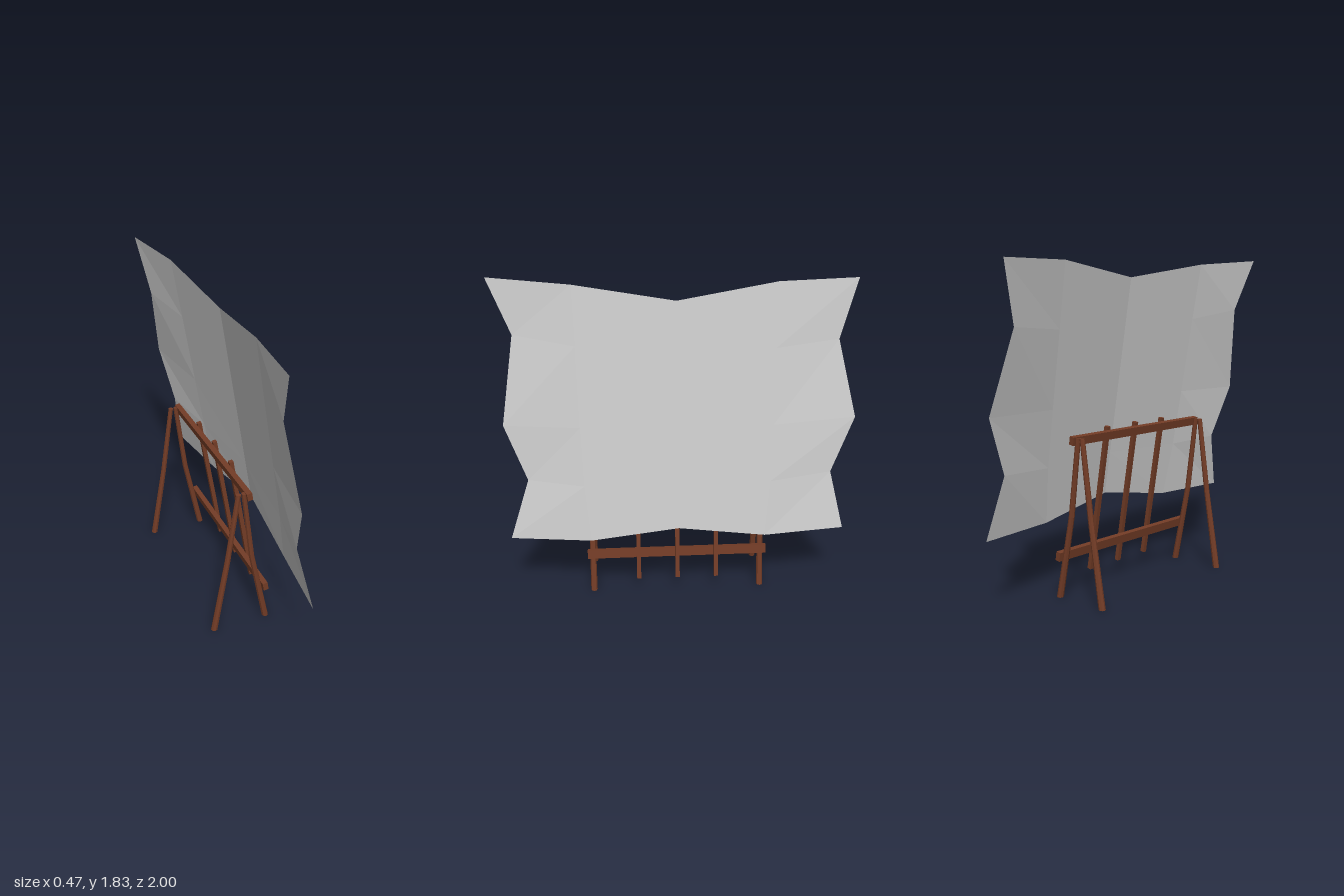
import * as THREE from 'three';

const wood = new THREE.MeshStandardMaterial({ color: 0x733c26, flatShading: true });
const hideMat = new THREE.MeshStandardMaterial({ color: 0xcccccc, flatShading: true, side: THREE.DoubleSide });
const LEAN = Math.atan(0.168); // backward lean shared by rack and hide

// Tapered pole through [x, y, radius] stations, built as a ring-by-ring cylinder
function pole(name, stations, z) {
  const sides = 8, rings = stations.length - 1;
  const geo = new THREE.CylinderGeometry(1, 1, 1, sides, rings);
  const p = geo.attributes.position;
  for (let i = 0; i < p.count; i++) {
    const [x, y, r] = stations[Math.round((p.getY(i) + 0.5) * rings)];
    p.setXYZ(i, x + p.getX(i) * r, y, z + p.getZ(i) * r);
  }
  geo.computeVertexNormals();
  const mesh = new THREE.Mesh(geo, wood);
  mesh.name = name;
  return mesh;
}

// Squared timber leaning with the rack
function timber(name, size, pos) {
  const mesh = new THREE.Mesh(new THREE.BoxGeometry(...size), wood);
  mesh.position.set(...pos);
  mesh.rotation.z = LEAN;
  mesh.name = name;
  return mesh;
}

// Stretched hide: 5 x 5 grid, bowed forward at the centre, with a ragged outline
function hide() {
  const bow = [0.212, 0.27, 0.314, 0.27, 0.212];
  const rows = [ // [z, y] per column, from the left edge to the right edge
    [[1.0, 1.83], [0.55, 1.8], [0, 1.72], [-0.55, 1.8], [-0.995, 1.8]],
    [[0.875, 1.53], [0.54, 1.48], [0, 1.44], [-0.54, 1.45], [-0.895, 1.475]],
    [[0.95, 1.04], [0.53, 1.04], [0, 1.03], [-0.53, 1.03], [-1.0, 1.04]],
    [[0.83, 0.73], [0.52, 0.71], [0, 0.72], [-0.52, 0.71], [-0.87, 0.73]],
    [[0.94, 0.395], [0.49, 0.395], [0, 0.475], [-0.49, 0.395], [-0.95, 0.395]],
  ];
  const geo = new THREE.PlaneGeometry(1, 1, 4, 4);
  rows.flat().forEach(([z, y], i) =>
    geo.attributes.position.setXYZ(i, bow[i % 5] - 0.168 * y, y, z));
  geo.computeVertexNormals();
  const mesh = new THREE.Mesh(geo, hideMat);
  mesh.name = 'stretchedHide';
  return mesh;
}

export function createModel() {
  const group = new THREE.Group();
  group.name = 'hideRack';

  // Paired, slightly bent legs at both ends
  for (const z of [0.49, -0.49]) {
    group.add(pole('frontLeg', [[0.1, 0, 0.019], [0.005, 0.46, 0.016], [-0.05, 0.89, 0.014]], z));
    group.add(pole('rearLeg', [[-0.217, 0.003, 0.019], [-0.14, 0.46, 0.016], [-0.08, 0.89, 0.014]], z));
  }

  // Cross rails
  group.add(timber('topRail', [0.03, 0.045, 1.03], [-0.025, 0.875, 0]));
  group.add(timber('lowerRail', [0.03, 0.05, 1.04], [0.084, 0.235, 0]));

  // Slats leaning against the rails
  for (const z of [-0.225, 0, 0.225])
    group.add(timber('slat', [0.024, 0.84, 0.024], [0.064, 0.505, z]));

  group.add(hide());
  return group;
}
